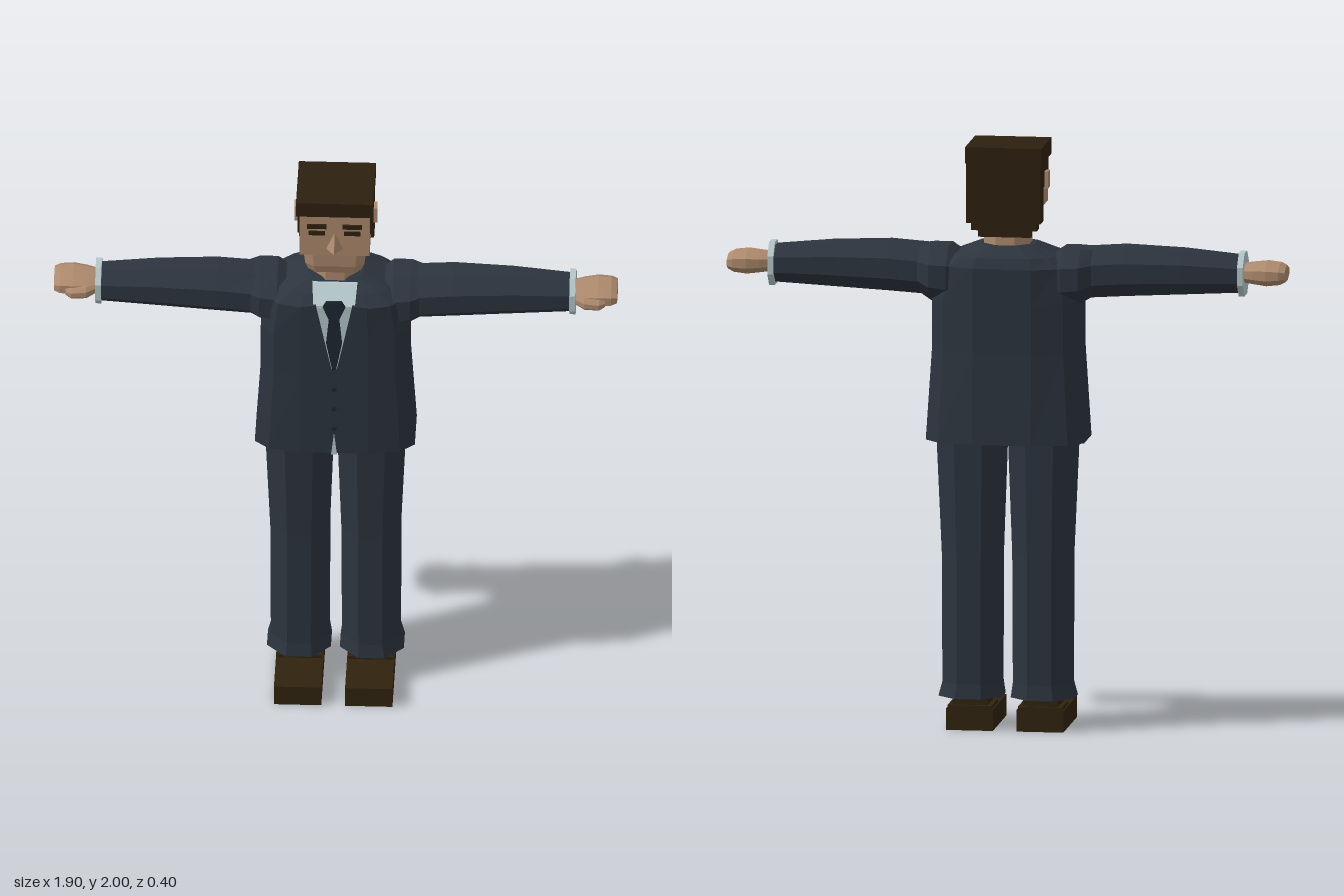
import * as THREE from 'three';

const mat = (name, color, side = THREE.FrontSide) => {
  const m = new THREE.MeshStandardMaterial({ color, side });
  m.name = name;
  return m;
};

export function createModel() {
  const root = new THREE.Group();
  root.name = 'suitedMan';
  const suit = mat('suitNavy', 0x2c343e);
  const skin = mat('skin', 0xae8a6d);
  const hair = mat('hairBrown', 0x2d200f);
  const shoe = mat('shoeBrown', 0x30230f);
  const shirt = mat('shirtPale', 0xb4c7ca);
  const tie = mat('tieDark', 0x1d2630);

  const add = (name, geo, material) => {
    const mesh = new THREE.Mesh(geo, material);
    mesh.name = name;
    root.add(mesh);
    return mesh;
  };

  // Box from min and max on each axis
  const box = (name, material, x0, x1, y0, y1, z0, z1) => {
    const g = new THREE.BoxGeometry(Math.abs(x1 - x0), y1 - y0, z1 - z0);
    return add(name, g.translate((x0 + x1) / 2, (y0 + y1) / 2, (z0 + z1) / 2), material);
  };

  // Capped, faceted skin over rings of [x, y, z] points, turned outwards
  const loft = (name, material, rings) => {
    const tris = [];
    const n = rings[0].length;
    for (let r = 0; r < rings.length - 1; r++) {
      for (let i = 0; i < n; i++) {
        const j = (i + 1) % n, a = rings[r], b = rings[r + 1];
        tris.push([a[i], a[j], b[j]], [a[i], b[j], b[i]]);
      }
    }
    const first = rings[0], last = rings[rings.length - 1];
    const middle = ring => [0, 1, 2].map(k => ring.reduce((s, p) => s + p[k], 0) / n);
    const m0 = middle(first), m1 = middle(last);
    for (let i = 0; i < n; i++) {
      const j = (i + 1) % n;
      tris.push([m0, first[j], first[i]], [m1, last[i], last[j]]);
    }
    const v = p => new THREE.Vector3(p[0] - m0[0], p[1] - m0[1], p[2] - m0[2]);
    const volume = tris.reduce((s, [a, b, c]) => s + v(a).dot(v(b).cross(v(c))), 0);
    if (volume < 0) tris.forEach(t => t.reverse());
    const g = new THREE.BufferGeometry();
    g.setAttribute('position', new THREE.Float32BufferAttribute(tris.flat(2), 3));
    g.computeVertexNormals();
    return add(name, g, material);
  };

  // Eight-sided outline with flat sides, given half sizes
  const octagon = (hu, hv) => Array.from({ length: 8 }, (_, i) => {
    const a = (i + 0.5) * Math.PI / 4, k = 1 / Math.cos(Math.PI / 8);
    return [Math.cos(a) * hu * k, Math.sin(a) * hv * k];
  });
  const ringY = ([y, cx, hx, z0, z1]) =>
    octagon(hx, (z1 - z0) / 2).map(([u, w]) => [cx + u, y, (z0 + z1) / 2 + w]);
  const ringX = s => ([x, y0, y1, z0, z1]) =>
    octagon((y1 - y0) / 2, (z1 - z0) / 2).map(([u, w]) => [s * x, (y0 + y1) / 2 + u, (z0 + z1) / 2 + w]);

  // Thin flat plate facing the front
  const plate = (name, material, points, z, depth = 0.004) => {
    const shape = new THREE.Shape(points.map(([x, y]) => new THREE.Vector2(x, y)));
    const g = new THREE.ExtrudeGeometry(shape, { depth, bevelEnabled: false });
    return add(name, g.translate(0, 0, z), material);
  };
  const mirrored = half => [...half, ...half.map(([x, y]) => [-x, y]).reverse()];

  // Jacket body: half outline mirrored at each height [y, half width, front, back]
  const jacketRing = ([y, w, f, b]) => {
    const half = [
      [Math.min(0.115, w * 0.55), f], [w * 0.82, f * 0.85], [w, f * 0.5],
      [w, b * 0.55], [w * 0.82, b * 0.84], [Math.min(0.1, w * 0.5), b],
    ];
    return mirrored(half).map(([x, z]) => [x, y, z]);
  };
  loft('jacket', suit, [
    [1.05, 0.24, 0.1, -0.17], [0.99, 0.25, 0.11, -0.18], [0.99, 0.27, 0.12, -0.2],
    [1.3, 0.25, 0.12, -0.187], [1.47, 0.25, 0.12, -0.187], [1.59, 0.23, 0.12, -0.187],
    [1.625, 0.18, 0.085, -0.17], [1.66, 0.095, 0.035, -0.125],
  ].map(jacketRing));

  // Shirt front, its collar and the tie
  plate('shirtFront', shirt, mirrored([[0.062, 1.6], [0.003, 1.31]]), 0.119);
  loft('shirtCollar', shirt, [
    [1.57, 0.07, -0.08, 0.123], [1.595, 0.07, -0.09, 0.124], [1.65, 0.076, -0.1, 0.06],
  ].map(([y, w, b, f]) => [[w, y, f], [w, y, b], [-w, y, b], [-w, y, f]]));
  plate('tieKnot', tie, mirrored([[0.026, 1.622], [0.038, 1.6], [0.018, 1.55]]), 0.122, 0.009);
  plate('tieBlade', tie, mirrored([[0.017, 1.555], [0.027, 1.45], [0.003, 1.32]]), 0.122, 0.005);

  // Jacket closing strip, buttons and the opening at the hem
  plate('frontStrip', suit, mirrored([[0.02, 1.34], [0.02, 1.08], [0.014, 1.0]]), 0.119, 0.009);
  for (const y of [1.1, 1.18, 1.26]) {
    const button = new THREE.CylinderGeometry(0.009, 0.009, 0.008, 6).rotateX(Math.PI / 2);
    add('button', button.translate(0, y, 0.13), tie);
  }
  plate('hemOpening', shirt, [[0, 1.08], [-0.01, 0.99], [0.01, 0.99]], 0.126, 0.003);

  for (const s of [1, -1]) {
    const side = s > 0 ? 'left' : 'right';
    const mx = pts => pts.map(([x, y]) => [s * x, y]);

    plate(side + 'Lapel', suit, mx([
      [0.062, 1.605], [0.112, 1.6], [0.112, 1.52], [0.03, 1.32], [0.004, 1.31],
    ]), 0.12, 0.009);

    // Padded shoulder and sleeve
    loft(side + 'Shoulder', suit, [
      [0.15, 1.48, 1.62, -0.14, 0.07], [0.195, 1.455, 1.65, -0.165, 0.085],
      [0.255, 1.465, 1.65, -0.165, 0.08], [0.3, 1.49, 1.645, -0.125, 0.055],
    ].map(ringX(s)));
    loft(side + 'Sleeve', suit, [
      [0.24, 1.48, 1.645, -0.13, 0.065], [0.4, 1.49, 1.657, -0.125, 0.06],
      [0.6, 1.5, 1.65, -0.113, 0.045], [0.8, 1.51, 1.632, -0.1, 0.03],
    ].map(ringX(s)));
    loft(side + 'Cuff', shirt, [
      [0.79, 1.498, 1.645, -0.11, 0.037], [0.81, 1.498, 1.645, -0.11, 0.037],
    ].map(ringX(s)));

    // Hand with thumb
    loft(side + 'Hand', skin, [
      [0.8, 1.545, 1.605, -0.085, 0.015], [0.84, 1.54, 1.61, -0.1, 0.025],
      [0.885, 1.535, 1.615, -0.11, 0.03], [0.93, 1.54, 1.61, -0.107, 0.027],
      [0.95, 1.55, 1.6, -0.098, 0.018],
    ].map(ringX(s)));
    loft(side + 'Thumb', skin, [
      [0.81, 1.555, 1.59, -0.01, 0.025], [0.84, 1.545, 1.59, 0.0, 0.045],
      [0.89, 1.545, 1.585, 0.005, 0.048], [0.91, 1.555, 1.58, 0.01, 0.035],
    ].map(ringX(s)));

    // Trouser leg and shoe
    loft(side + 'TrouserLeg', suit, [
      [0.11, s * 0.123, 0.108, -0.145, 0.075], [0.16, s * 0.12, 0.098, -0.138, 0.068],
      [0.6, s * 0.12, 0.1, -0.138, 0.065], [1.06, s * 0.122, 0.118, -0.15, 0.075],
    ].map(ringY));
    box(side + 'Shoe', shoe, s * 0.04, s * 0.2, 0, 0.073, -0.12, 0.2);
    box(side + 'ShoeHeel', shoe, s * 0.045, s * 0.195, 0.07, 0.085, -0.12, 0.03);
    box(side + 'ShoeAnkle', shoe, s * 0.06, s * 0.18, 0.08, 0.13, -0.105, 0.02);

    // Ear, sideburn, brow and eye
    box(side + 'Ear', skin, s * 0.11, s * 0.14, 1.85, 1.908, -0.06, -0.02);
    box(side + 'Sideburn', hair, s * 0.11, s * 0.127, 1.84, 1.86, 0, 0.035);
    plate(side + 'Brow', hair, mx([[0.027, 1.913], [0.092, 1.913], [0.092, 1.897], [0.027, 1.897]]), 0.083, 0.009);
    plate(side + 'Eye', hair, mx([[0.032, 1.885], [0.088, 1.885], [0.088, 1.868], [0.032, 1.868]]), 0.083, 0.005);
  }

  // Neck and head
  loft('neck', skin, [[1.6, 0, 0.078, -0.11, 0.045], [1.72, 0, 0.078, -0.11, 0.045]].map(ringY));
  box('face', skin, -0.118, 0.118, 1.785, 1.95, -0.1, 0.085);
  loft('jaw', skin, [
    [1.705, 0.09, -0.085, 0.072], [1.735, 0.1, -0.09, 0.081], [1.79, 0.106, -0.095, 0.084],
  ].map(([y, w, b, f]) => [[w, y, b], [w, y, f - 0.02], [w * 0.7, y, f], [-w * 0.7, y, f], [-w, y, f - 0.02], [-w, y, b]]));
  loft('nose', skin, [[1.812, 0.032, 0.122], [1.872, 0.006, 0.09]]
    .map(([y, w, z]) => [[-w, y, 0.08], [w, y, 0.08], [0, y, z]]));

  // Hair in stepped blocks
  box('hairTop', hair, -0.13, 0.13, 1.945, 2, -0.155, 0.089);
  box('hairSides', hair, -0.127, 0.127, 1.855, 1.95, -0.155, 0.035);
  box('hairBack', hair, -0.127, 0.127, 1.742, 1.86, -0.155, -0.082);
  box('hairBackStep', hair, -0.112, 0.112, 1.715, 1.75, -0.142, -0.088);
  box('hairNape', hair, -0.09, 0.09, 1.69, 1.72, -0.124, -0.095);

  return root;
}
